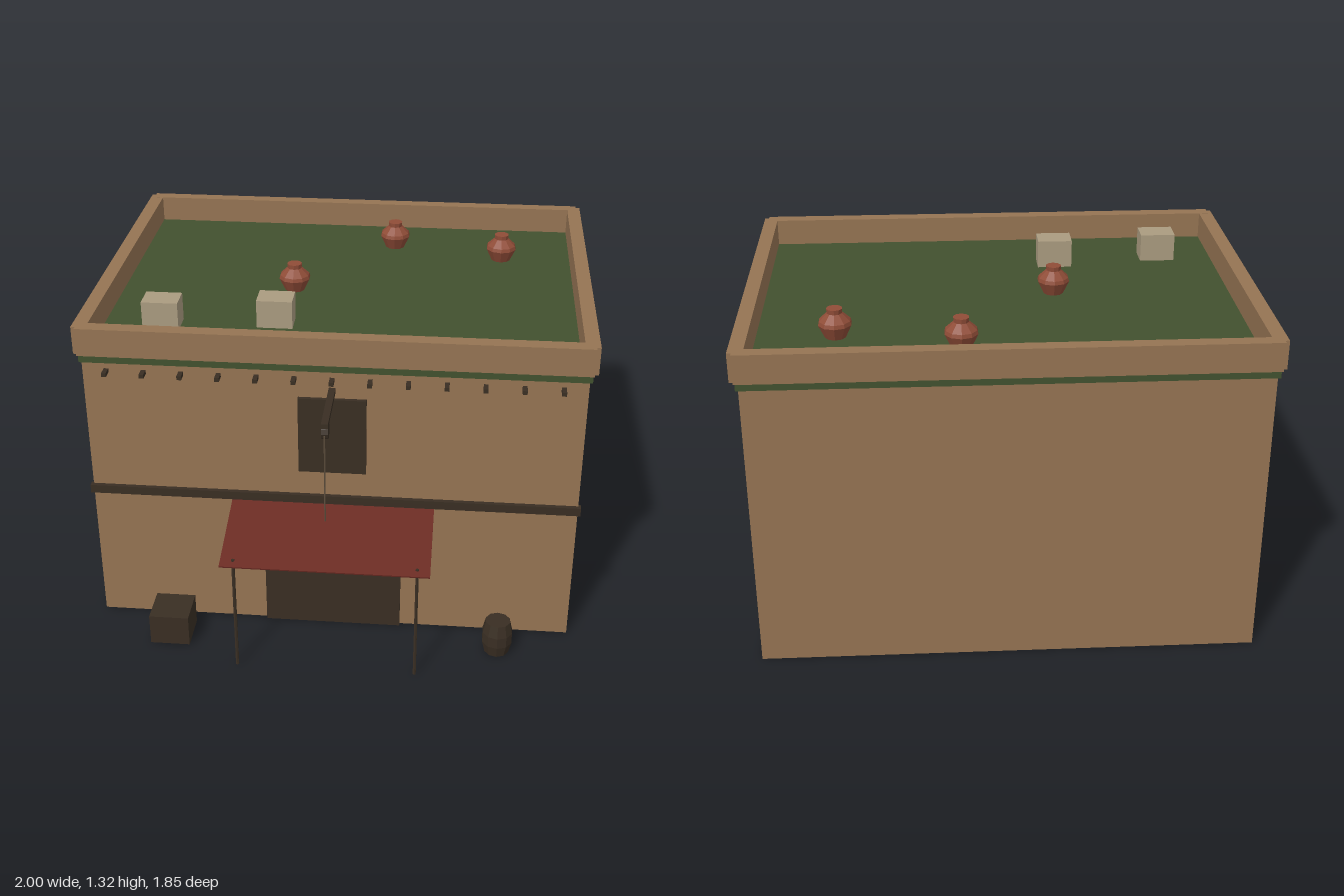
import * as THREE from 'three';

const mat = (name, color, extra = {}) => {
  const m = new THREE.MeshStandardMaterial({ color, flatShading: true, ...extra });
  m.name = name;
  return m;
};

export function createModel() {
  const root = new THREE.Group();
  root.name = 'tradingHouse';
  const clay = mat('clay wall', 0x957453);
  const green = mat('green roof', 0x42512f);
  const wood = mat('dark wood', 0x392e23);
  const cloth = mat('red cloth', 0x6a2a22, { side: THREE.DoubleSide });
  const terracotta = mat('terracotta', 0x8f4c37);
  const pale = mat('pale stone', 0xaa9b80);
  const rope = mat('rope', 0x5c4d3c);

  const add = (name, geo, material, x = 0, y = 0, z = 0) => {
    const m = new THREE.Mesh(geo, material);
    m.name = name;
    m.position.set(x, y, z);
    root.add(m);
    return m;
  };
  // Box given by its minimum and maximum on each axis
  const box = (name, material, x0, x1, y0, y1, z0, z1) =>
    add(name, new THREE.BoxGeometry(x1 - x0, y1 - y0, z1 - z0), material,
      (x0 + x1) / 2, (y0 + y1) / 2, (z0 + z1) / 2);
  const lathe = (pts, sides) =>
    new THREE.LatheGeometry(pts.map(([r, y]) => new THREE.Vector2(r, y)), sides);

  // Walls, roof slab and parapet
  box('walls', clay, -0.97, 0.97, 0, 1.18, -0.9, 0.57);
  box('roofSlab', green, -0.98, 0.98, 1.168, 1.205, -0.907, 0.577);
  box('parapetFront', clay, -0.983, 0.983, 1.2, 1.314, 0.53, 0.588);
  box('parapetBack', clay, -0.983, 0.983, 1.2, 1.314, -0.922, -0.868);
  for (const s of [-1, 1]) {
    const a = 0.943 * s, b = s;
    box('parapetSide', clay, Math.min(a, b), Math.max(a, b), 1.2, 1.3135, -0.902, 0.57);
  }

  // Floor band, doors and door rail
  box('floorBand', wood, -0.98, 0.98, 0.585, 0.62, 0.56, 0.588);
  box('upperDoor', wood, -0.133, 0.133, 0.73, 1.055, 0.56, 0.586);
  box('lowerDoor', wood, -0.278, 0.278, 0, 0.487, 0.56, 0.586);
  box('doorRail', wood, -0.26, 0.26, 0.385, 0.4, 0.58, 0.59);

  // Side windows, two per side
  for (const x of [-0.972, 0.972])
    for (const y of [0.22, 0.805])
      box('sideWindow', wood, x - 0.013, x + 0.013, y, y + 0.145, -0.52, -0.39);

  // Roof beam ends along the front
  for (let i = -6; i <= 6; i++) {
    const x = i * 0.146;
    box('beamEnd', wood, x - 0.009, x + 0.009, 1.127, 1.143, 0.56, 0.613);
  }

  // Sloping awning on two posts
  const drop = 0.085, reach = 0.355;
  const awning = add('awning', new THREE.BoxGeometry(0.81, 0.006, Math.hypot(drop, reach)),
    cloth, 0, 0.533, 0.747);
  awning.rotation.x = Math.atan2(drop, reach);
  for (const x of [-0.355, 0.355])
    add('awningPost', new THREE.CylinderGeometry(0.007, 0.007, 0.505, 6), wood, x, 0.2525, 0.892);

  // Hoist with beam, pulley and rope
  box('hoistBeam', wood, -0.013, 0.013, 1.08, 1.1, 0.56, 0.857);
  const pulley = add('pulley', new THREE.CylinderGeometry(0.03, 0.03, 0.026, 10), wood, 0, 1.056, 0.828);
  pulley.rotation.z = Math.PI / 2;
  add('hoistRope', new THREE.CylinderGeometry(0.003, 0.003, 0.37, 5), rope, 0, 0.866, 0.857);

  // Crate and barrel by the front wall
  box('crate', wood, -0.73, -0.57, 0, 0.131, 0.63, 0.79);
  add('barrel', lathe([[0, 0], [0.05, 0], [0.062, 0.05], [0.062, 0.097], [0.05, 0.147], [0, 0.147]], 10),
    wood, 0.68, 0, 0.707);

  // Roof blocks
  box('roofBlock', pale, -0.78, -0.635, 1.2, 1.32, 0.23, 0.337);
  box('roofBlock', pale, -0.33, -0.187, 1.2, 1.32, 0.175, 0.283);

  // Clay pots on the roof
  const potGeo = lathe([[0, 0], [0.04, 0], [0.066, 0.055], [0.062, 0.07], [0.03, 0.1],
    [0.031, 0.118], [0, 0.118]], 10);
  for (const [x, z] of [[0.167, -0.632], [0.641, -0.52], [-0.225, -0.113]])
    add('clayPot', potGeo, terracotta, x, 1.203, z);

  return root;
}
